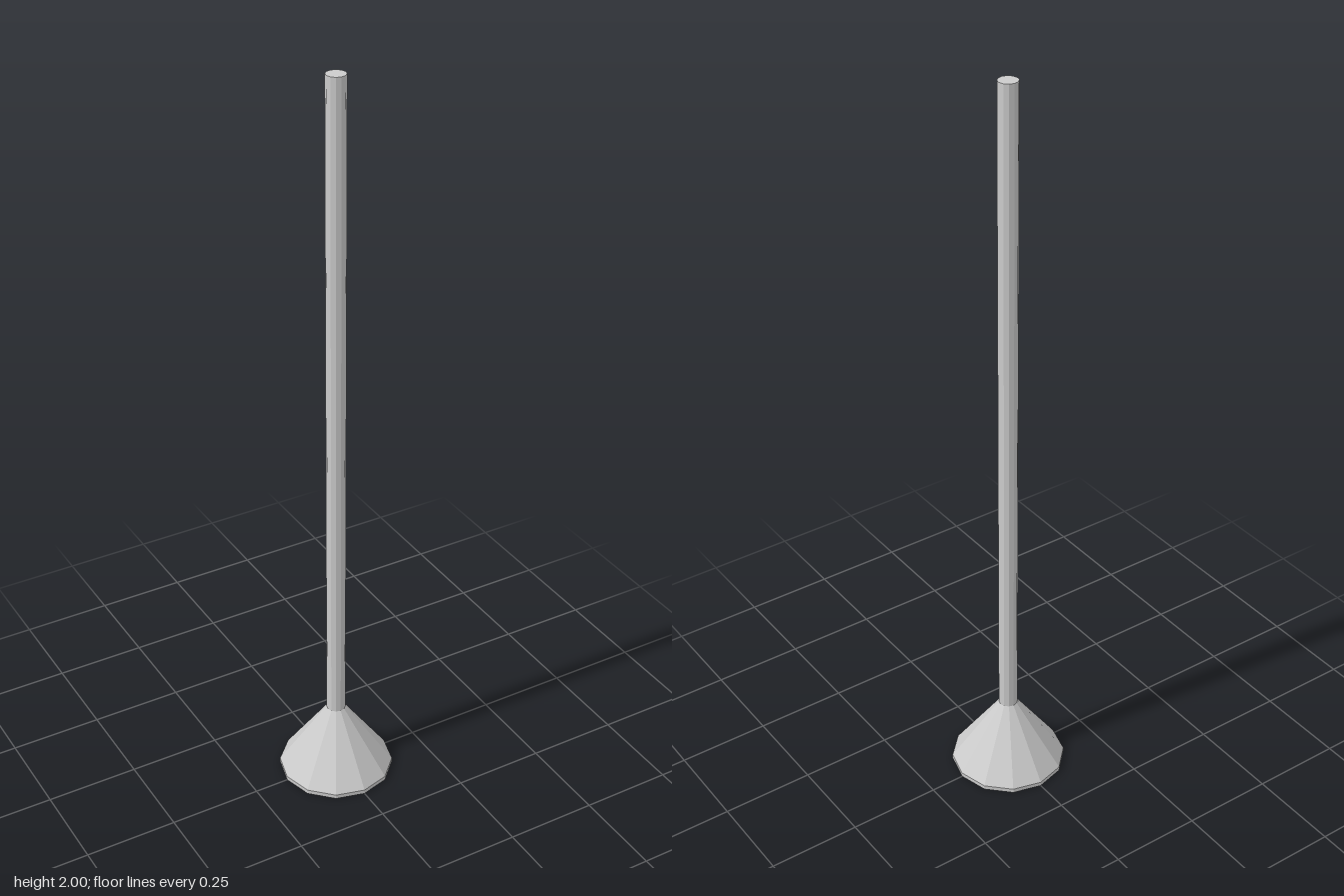
import * as THREE from 'three';

const SIDES = 12;
const ROD_RADIUS = 0.0255;
const BASE_RADIUS = 0.155;
const RIM_HEIGHT = 0.012;
const BASE_HEIGHT = 0.196;
const HEIGHT = 2;

export function createModel() {
  const group = new THREE.Group();
  group.name = 'pole';

  // Hollow conical foot with a short upright rim, open underneath
  const profile = [
    new THREE.Vector2(BASE_RADIUS, 0),
    new THREE.Vector2(BASE_RADIUS, RIM_HEIGHT),
    new THREE.Vector2(ROD_RADIUS, BASE_HEIGHT),
  ];
  const base = new THREE.Mesh(
    new THREE.LatheGeometry(profile, SIDES),
    new THREE.MeshStandardMaterial({ color: 0xcccccc, flatShading: true, side: THREE.DoubleSide })
  );
  base.name = 'conicalBase';
  group.add(base);

  // Slim upright rod, capped at both ends
  const length = HEIGHT - BASE_HEIGHT;
  const rod = new THREE.Mesh(
    new THREE.CylinderGeometry(ROD_RADIUS, ROD_RADIUS, length, SIDES),
    new THREE.MeshStandardMaterial({ color: 0xcccccc, flatShading: true })
  );
  rod.position.y = BASE_HEIGHT + length / 2;
  rod.name = 'rod';
  group.add(rod);

  return group;
}
